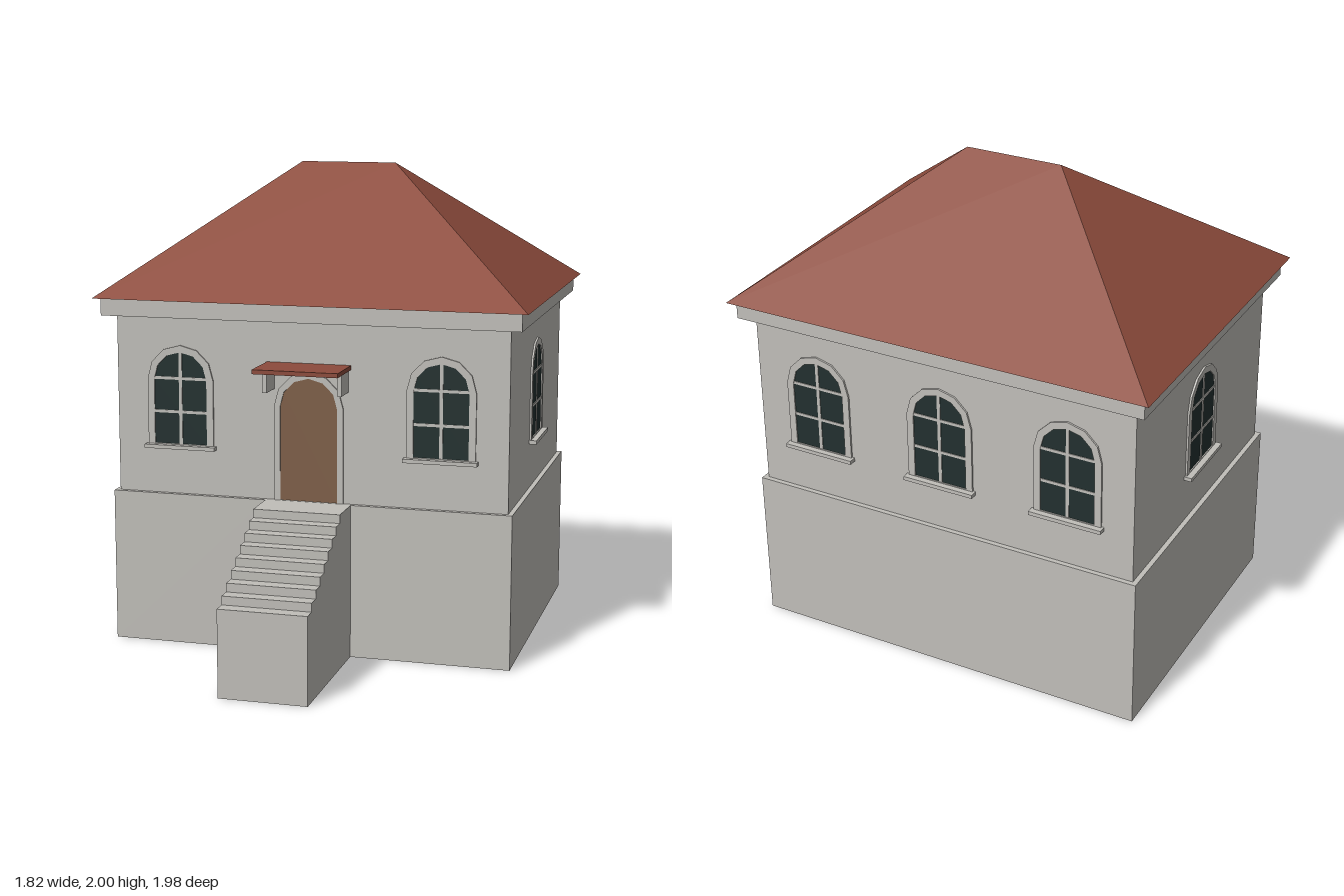
import * as THREE from 'three';

const material = (name, color) => {
  const m = new THREE.MeshStandardMaterial({ color });
  m.name = name;
  return m;
};

export function createModel() {
  const house = new THREE.Group();
  house.name = 'house';
  const plaster = material('plaster', 0xc0beb9);
  const plinthPlaster = material('plinth plaster', 0xc0beb9);
  plinthPlaster.side = THREE.DoubleSide;
  const tile = material('roof tile', 0x8c4b3c);
  const wood = material('door wood', 0x7e5f48);
  const glass = material('window glass', 0x22302f);

  const add = (name, geometry, mat, parent = house) => {
    const mesh = new THREE.Mesh(geometry, mat);
    mesh.name = name;
    parent.add(mesh);
    return mesh;
  };
  // Box given by its limits on each axis
  const box = (name, [x0, x1], [y0, y1], [z0, z1], mat, parent) => {
    const g = new THREE.BoxGeometry(x1 - x0, y1 - y0, z1 - z0);
    g.translate((x0 + x1) / 2, (y0 + y1) / 2, (z0 + z1) / 2);
    return add(name, g, mat, parent);
  };

  const midZ = -0.282, floorY = 0.645;
  const wallX = 0.83, frontZ = 0.34, backZ = -0.904;

  // Plinth: hollow, open below, with the landing standing out in front
  const bx = 0.85, bf = 0.36, bb = -0.924, lx = 0.182, lz = 0.525;
  const outline = [[-bx, bb], [-bx, bf], [-lx, bf], [-lx, lz], [lx, lz], [lx, bf], [bx, bf], [bx, bb]];
  const sides = [];
  outline.forEach(([x0, z0], i) => {
    const [x1, z1] = outline[(i + 1) % outline.length];
    sides.push(x0, 0, z0, x1, 0, z1, x1, floorY, z1, x0, 0, z0, x1, floorY, z1, x0, floorY, z0);
  });
  const plinth = new THREE.BufferGeometry();
  plinth.setAttribute('position', new THREE.Float32BufferAttribute(sides, 3));
  plinth.computeVertexNormals();
  add('plinthWalls', plinth, plinthPlaster);
  const topShape = new THREE.Shape(outline.map(([x, z]) => new THREE.Vector2(x, -z)));
  const top = new THREE.ShapeGeometry(topShape);
  top.rotateX(-Math.PI / 2).translate(0, floorY, 0);
  add('plinthTop', top, plinthPlaster);

  // Stairs: stepped side profile drawn across the width
  const steps = 8, run = (0.99 - lz) / steps, rise = (floorY - 0.36) / steps;
  const profile = new THREE.Shape();
  profile.moveTo(lz, 0);
  profile.lineTo(0.99, 0);
  for (let i = 0; i < steps; i++) {
    profile.lineTo(0.99 - i * run, 0.36 + i * rise);
    profile.lineTo(0.99 - (i + 1) * run, 0.36 + i * rise);
  }
  const stairs = new THREE.ExtrudeGeometry(profile, { depth: 2 * lx, bevelEnabled: false });
  stairs.rotateY(-Math.PI / 2).translate(lx, 0, 0);
  add('stairs', stairs, plaster);

  // Walls and cornice
  box('walls', [-wallX, wallX], [floorY, 1.4], [backZ, frontZ], plaster);
  box('cornice', [-0.882, 0.882], [1.392, 1.465], [-0.955, 0.391], plaster);

  // Hipped roof with a short ridge
  const ex = 0.91, ef = 0.42, eb = -0.985, ey = 1.465, rx = 0.206;
  const roof = new THREE.BufferGeometry();
  roof.setAttribute('position', new THREE.Float32BufferAttribute([
    -ex, ey, ef, ex, ey, ef, ex, ey, eb, -ex, ey, eb, -rx, 2, midZ, rx, 2, midZ], 3));
  roof.setIndex([0, 1, 5, 0, 5, 4, 1, 2, 5, 2, 3, 4, 2, 4, 5, 3, 0, 4, 0, 3, 2, 0, 2, 1]);
  const roofFaces = roof.toNonIndexed();
  roofFaces.computeVertexNormals();
  add('roof', roofFaces, tile);

  // Round-headed outline with a faceted arch
  const arch = (Type, w, y0, spring) => {
    const s = new Type();
    s.moveTo(-w, y0);
    s.lineTo(w, y0);
    for (let i = 0; i <= 6; i++) {
      const a = (i / 6) * Math.PI;
      s.lineTo(w * Math.cos(a), spring + w * Math.sin(a));
    }
    s.closePath();
    return s;
  };
  const surround = (outer, inner, y0, innerY0, spring) => {
    const s = arch(THREE.Shape, outer, y0, spring);
    s.holes.push(arch(THREE.Path, inner, innerY0, spring));
    return new THREE.ExtrudeGeometry(s, { depth: 0.008, bevelEnabled: false });
  };

  // Window: surround, pane, glazing bars and sill, facing +z
  const addWindow = (x, z, turn) => {
    const g = new THREE.Group();
    g.name = 'window';
    add('windowSurround', surround(0.143, 0.114, 0.85, 0.857, 1.13), plaster, g);
    const pane = new THREE.ShapeGeometry(arch(THREE.Shape, 0.114, 0.857, 1.13));
    add('windowPane', pane.translate(0, 0, 0.003), glass, g);
    box('uprightBar', [-0.007, 0.007], [0.857, 1.243], [0, 0.006], plaster, g);
    for (const y of [0.993, 1.134])
      box('crossBar', [-0.114, 0.114], [y - 0.006, y + 0.006], [0, 0.006], plaster, g);
    box('windowSill', [-0.153, 0.153], [0.838, 0.854], [0, 0.032], plaster, g);
    g.position.set(x, 0, z);
    g.rotation.y = turn;
    house.add(g);
  };
  for (const s of [-1, 1]) {
    addWindow(s * 0.553, frontZ, 0);
    addWindow(s * wallX, midZ, s * Math.PI / 2);
  }
  for (const x of [-0.553, 0, 0.553]) addWindow(x, backZ, Math.PI);

  // Door with its surround
  const doorSurround = surround(0.147, 0.121, floorY, floorY + 0.001, 1.038);
  add('doorSurround', doorSurround.translate(0, 0, frontZ), plaster);
  const door = new THREE.ShapeGeometry(arch(THREE.Shape, 0.121, floorY, 1.038));
  add('door', door.translate(0, 0, frontZ + 0.003), wood);

  // Canopy on two brackets
  box('canopy', [-0.178, 0.178], [1.203, 1.221], [frontZ, 0.545], tile);
  for (const s of [-1, 1])
    box('canopyBracket', [s * 0.157 - 0.01, s * 0.157 + 0.01], [1.11, 1.203], [frontZ, 0.445], plaster);

  return house;
}
